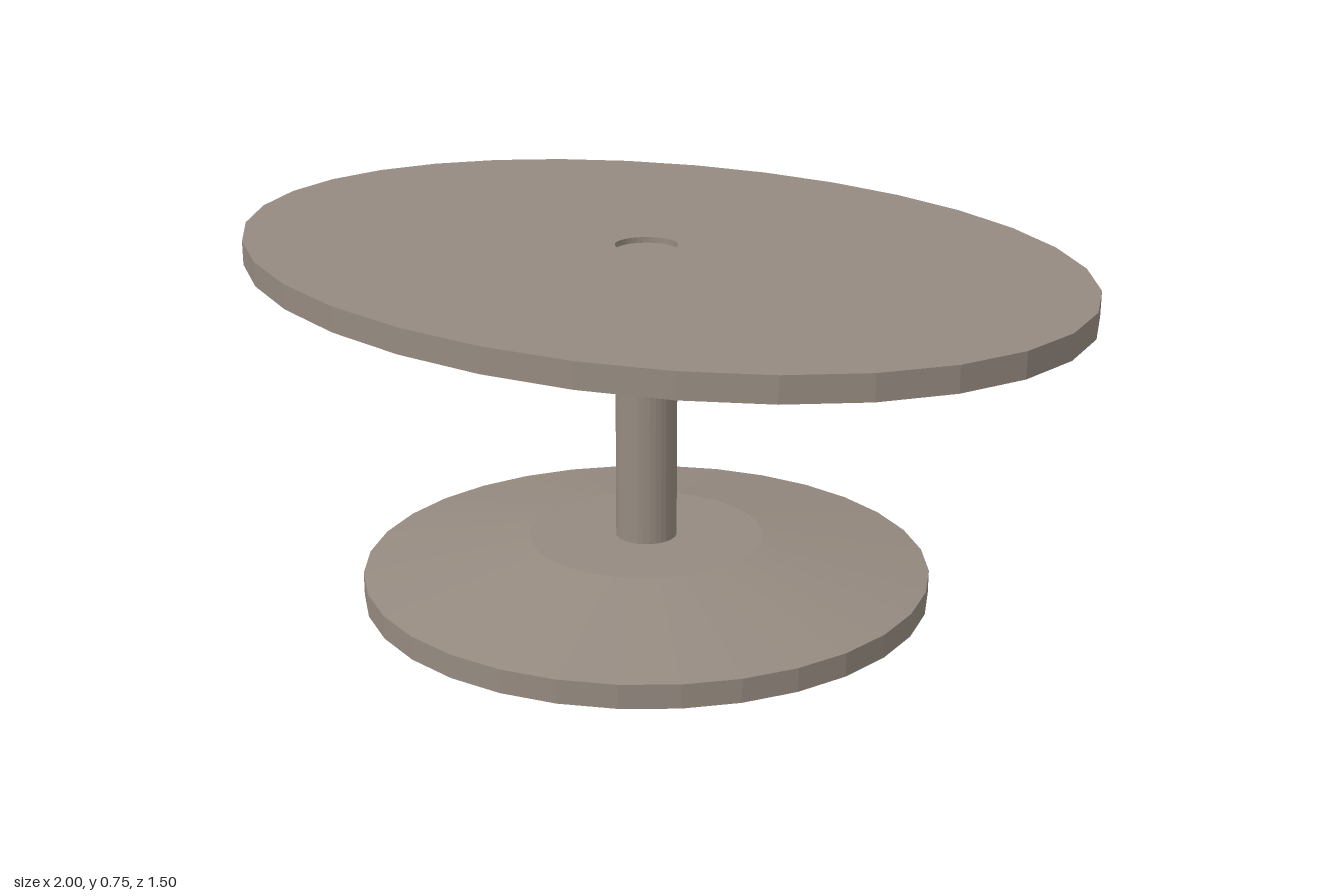
import * as THREE from 'three';

const SEGMENTS = 32;
const COLUMN_RADIUS = 0.065;

export function createModel() {
  const group = new THREE.Group();
  const material = new THREE.MeshStandardMaterial({
    color: 0x958a80, flatShading: true, side: THREE.DoubleSide,
  });

  // Turns a profile of [radius, height] pairs around the y axis
  const turned = (name, profile) => {
    const points = profile.map(([r, y]) => new THREE.Vector2(r, y));
    const mesh = new THREE.Mesh(new THREE.LatheGeometry(points, SEGMENTS), material);
    mesh.name = name;
    group.add(mesh);
    return mesh;
  };

  // Round foot with a conical upper side
  turned('base', [[0, 0], [0.605, 0], [0.605, 0.05], [0.25, 0.115], [0, 0.115]]);

  // Central column, ending just below the table surface
  turned('column', [[COLUMN_RADIUS, 0.11], [COLUMN_RADIUS, 0.738], [0, 0.738]]);

  // Oval top: hollow underneath, with a sloping skirt and a hole for the column
  const top = turned('tableTop', [
    [COLUMN_RADIUS, 0.742], [0.55, 0.742], [0.55, 0.613], [0.63, 0.645],
    [0.74, 0.68], [1, 0.7], [1, 0.75], [COLUMN_RADIUS, 0.75], [COLUMN_RADIUS, 0.738],
  ]);

  // Squeeze the top into an oval, leaving the hole round
  const pos = top.geometry.attributes.position;
  for (let i = 0; i < pos.count; i++) {
    if (Math.hypot(pos.getX(i), pos.getZ(i)) > 0.1) pos.setZ(i, pos.getZ(i) * 0.748);
  }
  top.geometry.computeVertexNormals();

  return group;
}
